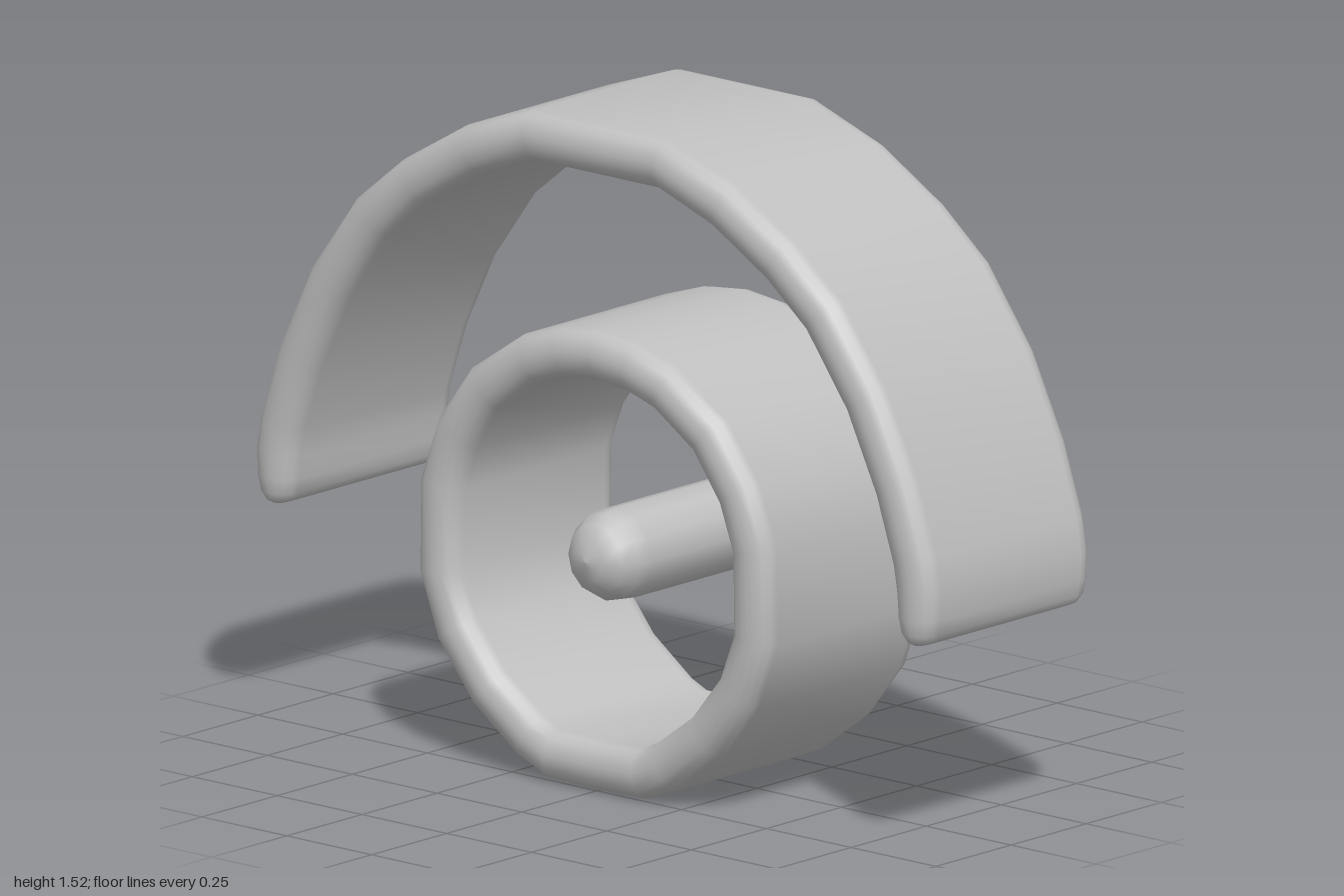
import * as THREE from 'three';

const HALF_THICK = 0.057, HALF_DEPTH = 0.282, CORNER = 0.05;

// Rounded-rectangle band section as [radial, z], counter-clockwise
function bandSection() {
  const pts = [], steps = 4;
  const corners = [[1, 1], [-1, 1], [-1, -1], [1, -1]];
  corners.forEach(([sr, sz], q) => {
    for (let k = 0; k <= steps; k++) {
      const a = (q + k / steps) * Math.PI / 2;
      pts.push([
        sr * (HALF_THICK - CORNER) + CORNER * Math.cos(a),
        sz * (HALF_DEPTH - CORNER) + CORNER * Math.sin(a),
      ]);
    }
  });
  return pts;
}

// Sweep the band along a clockwise path of [x, y, thickness scale, depth scale]
function sweepBand(path, closed) {
  const section = bandSection(), m = section.length, n = path.length;
  const positions = [], index = [];
  for (let i = 0; i < n; i++) {
    const prev = path[closed ? (i + n - 1) % n : Math.max(i - 1, 0)];
    const next = path[closed ? (i + 1) % n : Math.min(i + 1, n - 1)];
    const t = new THREE.Vector2(next[0] - prev[0], next[1] - prev[1]).normalize();
    const [x, y, st = 1, sd = 1] = path[i];
    for (const [r, z] of section) positions.push(x - t.y * r * st, y + t.x * r * st, z * sd);
  }
  for (let i = 0; i < (closed ? n : n - 1); i++) {
    for (let j = 0; j < m; j++) {
      const a = i * m + j, b = i * m + (j + 1) % m;
      const c = ((i + 1) % n) * m + j, d = ((i + 1) % n) * m + (j + 1) % m;
      index.push(a, b, c, b, d, c);
    }
  }
  const g = new THREE.BufferGeometry();
  g.setAttribute('position', new THREE.Float32BufferAttribute(positions, 3));
  g.setIndex(index);
  g.computeVertexNormals();
  return g;
}

// Mirror the right half of a path to its left
const mirrored = (pts) => pts.map(([x, ...rest]) => [-x, ...rest]).reverse();

export function createModel() {
  const model = new THREE.Group();
  const grey = new THREE.MeshStandardMaterial({ color: 0xc0c0c0 });
  grey.name = 'plain grey';
  const add = (name, geometry) => {
    const mesh = new THREE.Mesh(geometry, grey);
    mesh.name = name;
    model.add(mesh);
    return mesh;
  };

  // Outer arch: flat crown, faceted shoulders, rounded lower tips
  const archHalf = [
    [0.19, 1.466], [0.37, 1.402], [0.54, 1.302], [0.665, 1.2], [0.79, 1.03],
    [0.88, 0.845], [0.932, 0.69], [0.944, 0.62], [0.945, 0.56, 0.92],
    [0.945, 0.525, 0.8, 0.985], [0.945, 0.506, 0.55, 0.95], [0.945, 0.499, 0.25, 0.9],
    [0.945, 0.498, 0, 0],
  ];
  add('outerArch', sweepBand([...mirrored(archHalf), ...archHalf], false));

  // Inner ring: slightly flattened at the sides and the bottom
  const ringHalf = [
    [0.1, 0.987], [0.2, 0.955], [0.33, 0.868], [0.415, 0.752], [0.46, 0.63],
    [0.463, 0.43], [0.415, 0.3], [0.32, 0.182], [0.2, 0.094], [0.13, 0.064],
  ];
  add('innerRing', sweepBand([[0, 0.998], ...ringHalf, [0, 0.062], ...mirrored(ringHalf)], true));

  // Central rod with domed ends, turned to lie along z
  const dome = [[0, 0.289], [0.045, 0.279], [0.08, 0.255], [0.1, 0.22], [0.105, 0.18]];
  const profile = [...dome.map(([r, h]) => [r, -h]), ...dome.slice().reverse()]
    .map(([r, h]) => new THREE.Vector2(r, h));
  const rod = add('centralRod', new THREE.LatheGeometry(profile, 12));
  rod.rotation.x = Math.PI / 2;
  rod.position.y = 0.533;

  return model;
}
